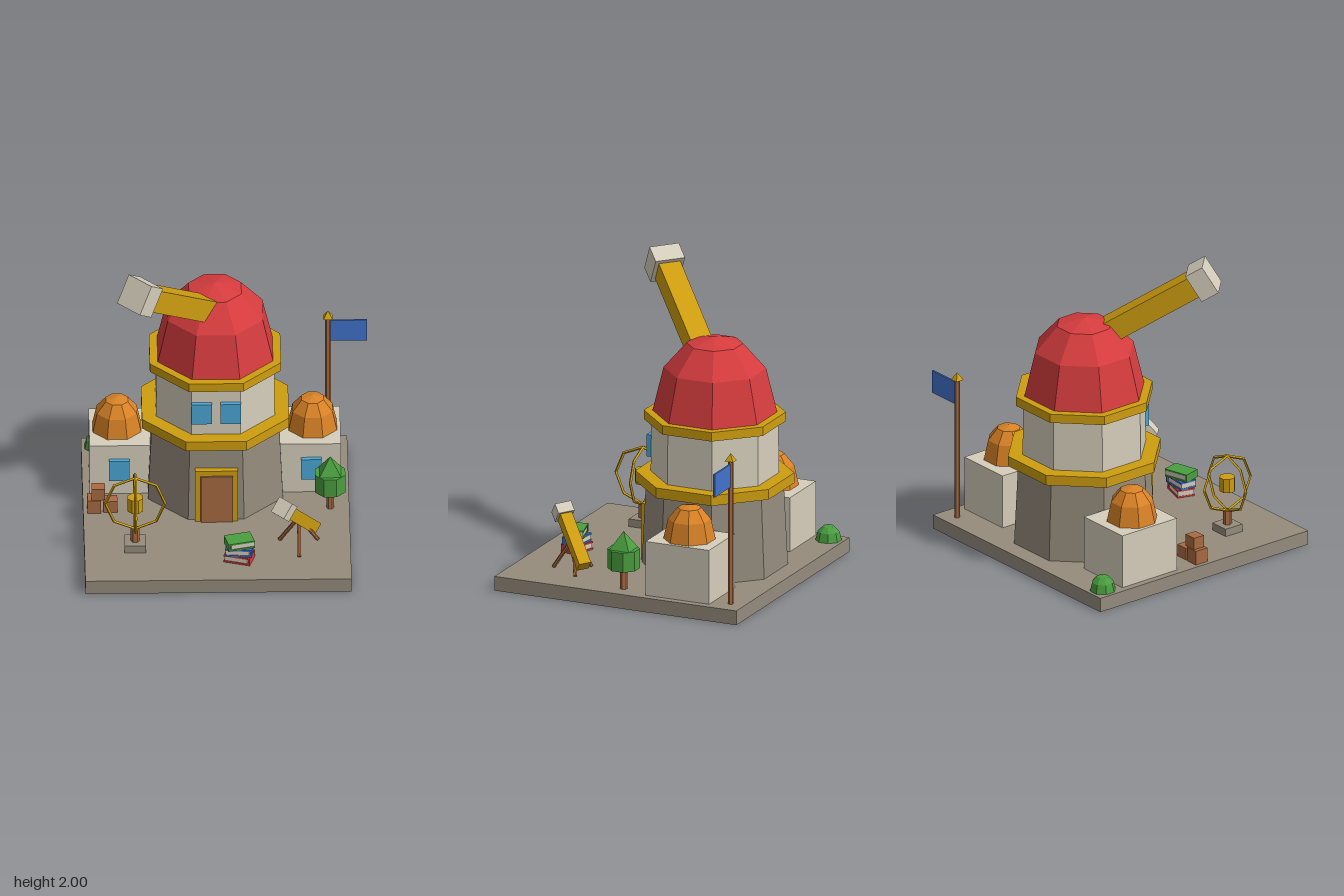
import * as THREE from 'three';

const COLORS = {
  stone: 0x958c7d, cream: 0xd6cebc, red: 0xd63c3e, orange: 0xd98226, gold: 0xcf9e10,
  brown: 0xa96b42, blue: 0x4173cc, sky: 0x4aa8d6, green: 0x4a9e3f,
};

export function createModel() {
  const model = new THREE.Group();
  model.name = 'observatory';
  const mats = {};
  for (const [name, color] of Object.entries(COLORS)) {
    mats[name] = new THREE.MeshStandardMaterial({ name, color, flatShading: true });
  }
  mats.stone.side = THREE.DoubleSide;

  const add = (name, geometry, color, x = 0, y = 0, z = 0, parent = model) => {
    const mesh = new THREE.Mesh(geometry, mats[color]);
    mesh.name = name;
    mesh.position.set(x, y, z);
    parent.add(mesh);
    return mesh;
  };
  const group = (name, x, y, z) => {
    const g = new THREE.Group();
    g.name = name;
    g.position.set(x, y, z);
    model.add(g);
    return g;
  };
  // box from its centre in x and z, and its bottom and top
  const box = (name, color, x, y0, y1, z, w, d, parent) =>
    add(name, new THREE.BoxGeometry(w, y1 - y0, d), color, x, (y0 + y1) / 2, z, parent);
  // upright prism with flat sides facing the axes; radii are to the flats
  const prism = (name, color, x, y0, y1, z, rBottom, rTop = rBottom, n = 8) => {
    const k = 1 / Math.cos(Math.PI / n);
    return add(name, new THREE.CylinderGeometry(rTop * k, rBottom * k, y1 - y0, n, 1, false, Math.PI / n),
      color, x, (y0 + y1) / 2, z);
  };
  // eight-sided faceted dome
  const dome = (name, color, x, y, z, r, h) => {
    const k = r / Math.cos(Math.PI / 8);
    const pts = [[1, 0], [0.823, 0.58], [0.455, 0.91], [0, 1]].map(([a, b]) => new THREE.Vector2(a * k, b * h));
    return add(name, new THREE.LatheGeometry(pts, 8, Math.PI / 8), color, x, y, z);
  };
  // cylinder between two points
  const Y = new THREE.Vector3(0, 1, 0);
  const rod = (name, color, a, b, r, n) => {
    const dir = b.clone().sub(a);
    const mid = a.clone().add(b).multiplyScalar(0.5);
    const mesh = add(name, new THREE.CylinderGeometry(r, r, dir.length(), n), color, mid.x, mid.y, mid.z);
    mesh.quaternion.setFromUnitVectors(Y, dir.normalize());
    return mesh;
  };
  // square-sided telescope, measured back from the centre of its front end
  const telescope = (name, end, dir, length, rBarrel, rCap, capLength) => {
    const d = dir.clone().normalize();
    const at = (t) => end.clone().addScaledVector(d, -t);
    rod(name + 'Barrel', 'gold', at(length), at(capLength * 0.5), rBarrel, 4);
    rod(name + 'Cap', 'cream', at(capLength), end, rCap, 4);
  };

  // base slab, hollow underneath
  const slab = new THREE.BoxGeometry(1.695, 0.095, 1.7);
  const index = Array.from(slab.index.array);
  index.splice(18, 6);
  slab.setIndex(index);
  slab.clearGroups();
  add('base', slab, 'stone', -0.063, 0.0475, 0);
  const G = 0.095; // ground level

  // main tower
  const TX = -0.066, TZ = -0.3;
  prism('lowerTower', 'stone', TX, G, 0.65, TZ, 0.43, 0.405);
  prism('lowerRing', 'gold', TX, 0.637, 0.705, TZ, 0.468);
  prism('upperTower', 'cream', TX, 0.7, 1.06, TZ, 0.378, 0.374);
  prism('upperRing', 'gold', TX, 1.05, 1.11, TZ, 0.418);
  dome('mainDome', 'red', TX, 1.11, TZ, 0.367, 0.5);
  for (const x of [-0.156, 0.027]) box('towerWindow', 'sky', x, 0.798, 0.944, 0.083, 0.13, 0.046);

  // door
  box('doorFrame', 'gold', -0.064, G, 0.472, 0.125, 0.275, 0.055);
  box('door', 'brown', -0.062, G, 0.435, 0.135, 0.205, 0.058);

  // side rooms
  for (const s of [-1, 1]) {
    box('sideRoom', 'cream', TX + s * 0.606, G, 0.455, -0.411, 0.388, 0.446);
    dome('sideDome', 'orange', TX + s * 0.623, 0.455, -0.414, 0.154, 0.227);
    box('roomWindow', 'sky', TX + s * 0.611, 0.207, 0.355, -0.178, 0.13, 0.04);
  }

  // large telescope through the dome
  telescope('mainTelescope', new THREE.Vector3(-0.59, 1.915, 0.32),
    new THREE.Vector3(-0.586, 0.527, 0.616), 0.84, 0.103, 0.141, 0.126);

  // small telescope on a tripod
  telescope('smallTelescope', new THREE.Vector3(0.343, 0.47, 0.588),
    new THREE.Vector3(-0.46, 0.68, 0.57), 0.45, 0.057, 0.078, 0.072);
  const apex = new THREE.Vector3(0.455, 0.31, 0.45);
  for (let i = 0; i < 3; i++) {
    const a = (i * 2 * Math.PI) / 3;
    const foot = new THREE.Vector3(0.455 + 0.14 * Math.sin(a), 0.1, 0.45 + 0.14 * Math.cos(a));
    rod('tripodLeg', 'brown', foot, apex, 0.013, 6);
  }

  // ringed globe on a stand
  const SX = -0.587, SZ = 0.45;
  box('globePlinth', 'stone', SX, G, 0.146, SZ, 0.136, 0.136);
  prism('globePost', 'brown', SX, 0.146, 0.24, SZ, 0.025, 0.025, 6);
  for (const turn of [0, Math.PI / 2]) {
    const ring = add('globeRing', new THREE.TorusGeometry(0.19, 0.01, 4, 8), 'gold', SX, 0.425, SZ);
    ring.rotation.y = turn;
  }
  prism('globeCore', 'gold', SX, 0.377, 0.472, SZ, 0.048);

  // crates
  box('crate', 'brown', -0.841, G, 0.19, 0, 0.086, 0.094);
  box('crate', 'brown', -0.738, G, 0.175, -0.005, 0.09, 0.08);
  box('crate', 'brown', -0.815, 0.19, 0.27, 0, 0.085, 0.08);

  // stack of books: two covers, a spine and the pages
  const books = [['red', -0.3, 1], ['blue', -0.1, 1], ['green', 0.26, -1]];
  books.forEach(([color, turn, spineSide], i) => {
    const h = 0.053, w = 0.172, d = 0.117;
    const book = group(color + 'Book', 0.073, G + i * h, 0.605);
    book.rotation.y = turn;
    box('cover', color, 0, 0, 0.011, 0, w, d, book);
    box('cover', color, 0, h - 0.011, h, 0, w, d, book);
    box('spine', color, spineSide * (w / 2 - 0.006), 0.011, h - 0.011, 0, 0.012, d, book);
    box('pages', 'cream', -spineSide * 0.008, 0.011, h - 0.011, 0, w - 0.02, d - 0.01, book);
  });

  // tree and bush
  prism('treeTrunk', 'brown', 0.662, G, 0.24, 0, 0.021, 0.021, 6);
  prism('treeCrown', 'green', 0.662, 0.232, 0.362, 0, 0.096);
  prism('treeTop', 'green', 0.662, 0.362, 0.478, 0, 0.069, 0, 4);
  dome('bush', 'green', -0.81, G, -0.75, 0.078, 0.1);

  // flag
  prism('flagPole', 'brown', 0.661, G, 1.055, -0.752, 0.016, 0.016, 6);
  prism('flagFinial', 'gold', 0.661, 1.05, 1.1, -0.752, 0.029, 0, 4);
  box('flag', 'blue', 0.793, 0.877, 1.03, -0.752, 0.235, 0.012);

  return model;
}
